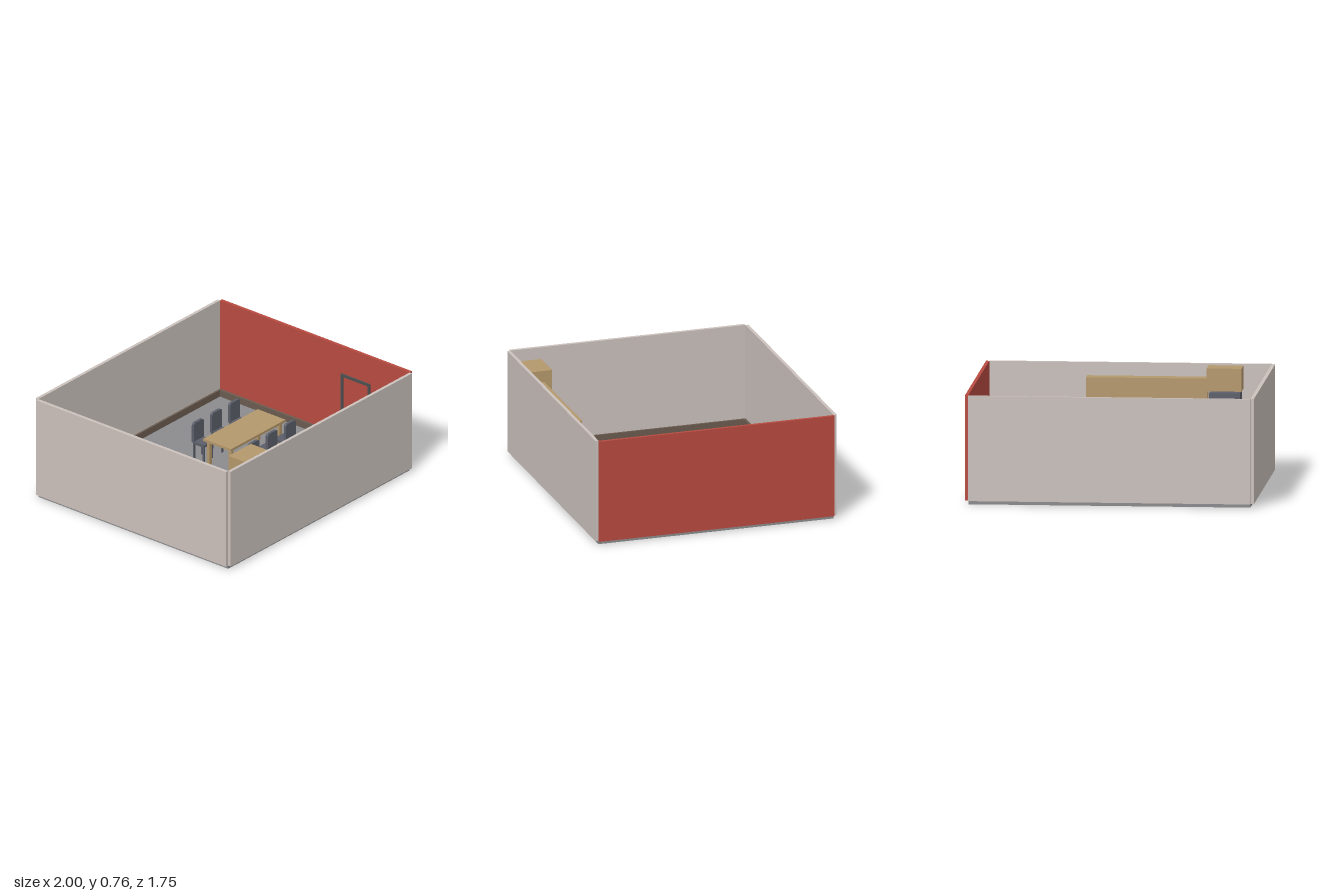
import * as THREE from 'three';

const mat = (name, color) => {
  const m = new THREE.MeshStandardMaterial({ color });
  m.name = name;
  return m;
};

export function createModel() {
  const plaster = mat('plaster', 0xcbc1bc);
  const red = mat('red paint', 0xb84a40);
  const floorGrey = mat('floor grey', 0x8b8b8d);
  const skirting = mat('dark skirting', 0x6b5c50);
  const wood = mat('light wood', 0xb4986b);
  const slate = mat('slate', 0x5b5e69);
  const frameDark = mat('dark frame', 0x4a4f50);
  const stone = mat('stone', 0x909094);
  const steel = mat('steel', 0xa0a2a6);

  const model = new THREE.Group();
  model.name = 'room';

  // Box given by its minimum and maximum on each axis
  const box = (parent, name, m, x0, x1, y0, y1, z0, z1) => {
    const mesh = new THREE.Mesh(new THREE.BoxGeometry(x1 - x0, y1 - y0, z1 - z0), m);
    mesh.position.set((x0 + x1) / 2, (y0 + y1) / 2, (z0 + z1) / 2);
    mesh.name = name;
    parent.add(mesh);
    return mesh;
  };
  const cyl = (parent, name, m, r, h, x, y, z) => {
    const mesh = new THREE.Mesh(new THREE.CylinderGeometry(r, r, h, 16), m);
    mesh.position.set(x, y + h / 2, z);
    mesh.name = name;
    parent.add(mesh);
    return mesh;
  };
  const group = (name) => {
    const g = new THREE.Group();
    g.name = name;
    model.add(g);
    return g;
  };

  // Floor and walls
  const F = 0.025;
  const T = 0.757;
  box(model, 'floor', floorGrey, -0.975, 0.975, 0, F, -0.852, 0.852);
  box(model, 'frontWall', plaster, -0.975, 0.975, F, T, 0.852, 0.875);
  box(model, 'backWall', plaster, -0.975, 0.975, F, T, -0.875, -0.852);
  box(model, 'rightWall', plaster, -1, -0.975, F, T, -0.852, 0.852);
  box(model, 'leftWall', red, 0.977, 1, F, T, -0.852, 0.852);

  // Skirting boards, broken at the doorway
  const skirt = group('skirting');
  const S = F + 0.05;
  box(skirt, 'backSkirting', skirting, -0.975, 0.977, F, S, -0.852, -0.838);
  box(skirt, 'frontSkirting', skirting, -0.975, 0.977, F, S, 0.838, 0.852);
  box(skirt, 'rightSkirting', skirting, -0.975, -0.96, F, S, -0.838, 0.838);
  box(skirt, 'leftSkirtingRear', skirting, 0.959, 0.977, F, S, -0.838, 0.24);
  box(skirt, 'leftSkirtingFront', skirting, 0.959, 0.977, F, S, 0.5, 0.838);

  // Door frame on the red wall
  const door = group('door');
  box(door, 'doorPostRear', frameDark, 0.965, 0.979, F, 0.55, 0.24, 0.258);
  box(door, 'doorPostFront', frameDark, 0.965, 0.979, F, 0.55, 0.482, 0.5);
  box(door, 'doorLintel', frameDark, 0.965, 0.979, 0.532, 0.55, 0.258, 0.482);
  box(door, 'doorPanel', red, 0.974, 0.979, F, 0.532, 0.258, 0.482);

  // Dining table
  const table = group('table');
  box(table, 'tableTop', wood, 0.07, 0.655, 0.222, 0.24, -0.245, 0.005);
  for (const x of [0.09, 0.61])
    for (const z of [-0.23, -0.035])
      box(table, 'tableLeg', wood, x, x + 0.025, F, 0.222, z, z + 0.025);

  // Chairs, built facing +z and turned round for the front row
  const backShape = new THREE.Shape();
  backShape.moveTo(-0.053, 0);
  backShape.lineTo(0.053, 0);
  backShape.lineTo(0.053, 0.13);
  backShape.quadraticCurveTo(0.052, 0.148, 0.036, 0.15);
  backShape.lineTo(-0.036, 0.15);
  backShape.quadraticCurveTo(-0.052, 0.148, -0.053, 0.13);
  const backGeo = new THREE.ExtrudeGeometry(backShape, { depth: 0.02, bevelEnabled: false, curveSegments: 5 });
  const addChair = (x, z, turn) => {
    const chair = group('chair');
    box(chair, 'chairSeat', slate, -0.052, 0.052, 0.14, 0.16, -0.045, 0.055);
    const back = new THREE.Mesh(backGeo, slate);
    back.name = 'chairBack';
    back.position.set(0, 0.15, -0.055);
    chair.add(back);
    for (const lx of [-0.043, 0.043])
      for (const lz of [-0.042, 0.045])
        box(chair, 'chairLeg', slate, lx - 0.006, lx + 0.006, F, 0.14, lz - 0.006, lz + 0.006);
    chair.position.set(x, 0, z);
    chair.rotation.y = turn;
  };
  for (const x of [0.167, 0.363, 0.558]) {
    addChair(x, -0.33, 0);
    addChair(x, 0.08, Math.PI);
  }

  // Kitchen along the front wall
  const kitchen = group('kitchen');
  box(kitchen, 'tallCabinet', wood, 0.29, 0.535, F, 0.505, 0.662, 0.852);
  box(kitchen, 'wallCabinet', wood, -0.54, 0.3, 0.485, 0.665, 0.75, 0.852);
  box(kitchen, 'fridgeCabinet', wood, -0.78, -0.54, 0.585, 0.745, 0.692, 0.852);
  box(kitchen, 'backsplash', stone, -0.54, 0.29, 0.285, 0.485, 0.845, 0.852);
  box(kitchen, 'counterTop', stone, -0.54, 0.29, 0.268, 0.285, 0.682, 0.845);
  box(kitchen, 'baseCabinet', frameDark, -0.54, 0.29, F, 0.268, 0.7, 0.845);
  for (let i = 0; i < 5; i++) {
    const x = -0.54 + i * 0.166;
    box(kitchen, 'cabinetDoor', wood, x + 0.004, x + 0.162, 0.05, 0.263, 0.692, 0.7);
  }

  // Fridge below the high cabinet
  box(kitchen, 'fridgeBody', slate, -0.77, -0.558, F, 0.575, 0.692, 0.852);
  box(kitchen, 'fridgeLowerDoor', slate, -0.77, -0.558, 0.04, 0.36, 0.676, 0.692);
  box(kitchen, 'fridgeUpperDoor', slate, -0.77, -0.558, 0.368, 0.575, 0.676, 0.692);

  // Tap and small things on the counter
  cyl(kitchen, 'tapStem', steel, 0.007, 0.05, 0.007, 0.285, 0.82);
  box(kitchen, 'tapSpout', steel, 0.001, 0.013, 0.325, 0.337, 0.775, 0.826);
  box(kitchen, 'wallHolder', steel, -0.075, -0.045, 0.39, 0.435, 0.825, 0.845);
  cyl(kitchen, 'smallJar', frameDark, 0.012, 0.03, -0.145, 0.285, 0.8);
  cyl(kitchen, 'smallCup', steel, 0.012, 0.022, -0.215, 0.285, 0.8);

  return model;
}
